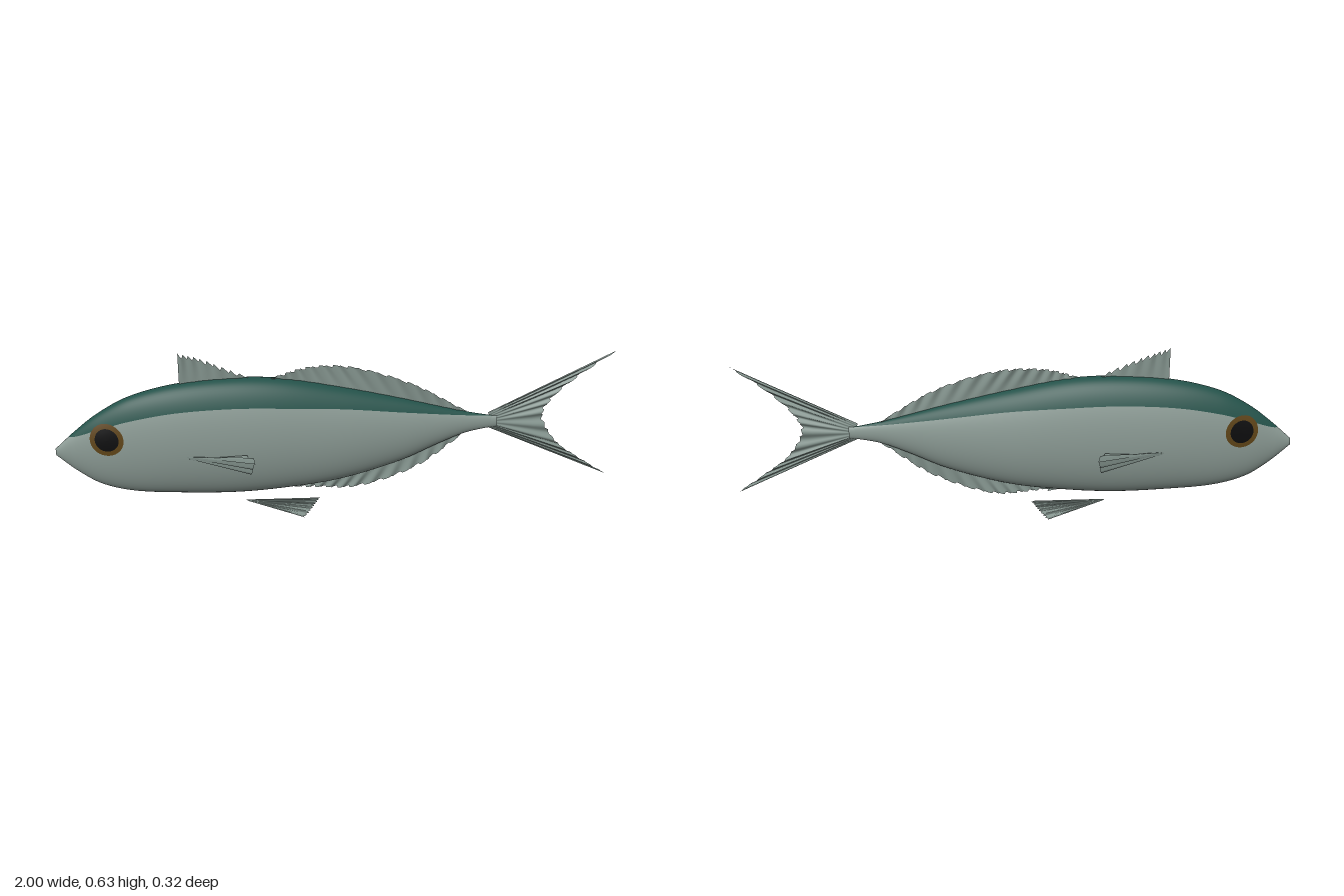
import * as THREE from 'three';

const mat = (name, color, side = THREE.FrontSide) => {
  const m = new THREE.MeshStandardMaterial({ color, side });
  m.name = name;
  return m;
};

// Body stations: x, top, bottom, half width, height of the colour line
const STATIONS = [
  [-1.0, 0.287, 0.262, 0.006, 0.32],
  [-0.93, 0.35, 0.195, 0.026, 0.337],
  [-0.85, 0.412, 0.138, 0.047, 0.367],
  [-0.74, 0.47, 0.102, 0.067, 0.402],
  [-0.58, 0.508, 0.083, 0.084, 0.43],
  [-0.38, 0.52, 0.07, 0.092, 0.437],
  [-0.2, 0.507, 0.075, 0.091, 0.426],
  [0.0, 0.463, 0.096, 0.08, 0.404],
  [0.22, 0.404, 0.154, 0.055, 0.366],
  [0.36, 0.362, 0.213, 0.034, 0.341],
  [0.46, 0.333, 0.25, 0.019, 0.324],
  [0.57, 0.308, 0.268, 0.007, 0.309],
];

// Smooth section of the body at x
function section(x) {
  const S = STATIONS, n = S.length;
  let i = 0;
  while (i < n - 2 && x > S[i + 1][0]) i++;
  const slope = (k, c) => {
    const a = S[Math.max(k - 1, 0)], b = S[Math.min(k + 1, n - 1)];
    return (b[c] - a[c]) / (b[0] - a[0]);
  };
  const d = S[i + 1][0] - S[i][0], t = (x - S[i][0]) / d, t2 = t * t, t3 = t2 * t;
  const at = (c) => (2 * t3 - 3 * t2 + 1) * S[i][c] + (t3 - 2 * t2 + t) * d * slope(i, c)
    + (3 * t2 - 2 * t3) * S[i + 1][c] + (t3 - t2) * d * slope(i + 1, c);
  const top = at(1), bottom = at(2);
  return { c: (top + bottom) / 2, h: (top - bottom) / 2, w: at(3), line: at(4) };
}

function surfaceZ(x, y) {
  const s = section(x);
  return s.w * Math.sqrt(Math.max(0, 1 - ((y - s.c) / s.h) ** 2));
}

function meshFrom(name, pos, index, material) {
  const g = new THREE.BufferGeometry();
  g.setAttribute('position', new THREE.Float32BufferAttribute(pos, 3));
  g.setIndex(index);
  g.computeVertexNormals();
  const m = new THREE.Mesh(g, material);
  m.name = name;
  return m;
}

// Closed elliptical body, back and flanks split along the colour line
function makeBody(back, flank) {
  const rows = 90, up = 24, low = 40, around = up + low;
  const pos = [], upper = [], lower = [];
  for (let i = -1; i <= rows + 1; i++) {
    const u = Math.min(Math.max(i / rows, 0), 1);
    const x = -1 + 1.57 * Math.pow(u, 1.2);
    const s = section(x), k = i < 0 || i > rows ? 0 : 1;
    const a = Math.acos(THREE.MathUtils.clamp((s.line - s.c) / s.h, -1, 1));
    for (let j = 0; j < around; j++) {
      const t = j < up ? -a + (2 * a * j) / up : a + ((2 * Math.PI - 2 * a) * (j - up)) / low;
      pos.push(x, s.c + k * s.h * Math.cos(t), k * s.w * Math.sin(t));
    }
  }
  for (let i = 0; i < rows + 2; i++) {
    for (let j = 0; j < around; j++) {
      const a = i * around + j, b = i * around + ((j + 1) % around);
      (j < up ? upper : lower).push(a, b, a + around, b, b + around, a + around);
    }
  }
  const body = meshFrom('body', pos, [...upper, ...lower], [back, flank]);
  body.geometry.addGroup(0, upper.length, 0);
  body.geometry.addGroup(upper.length, lower.length, 1);
  return body;
}

// Ring or disc lying on the side of the head
function eyePlate(name, r0, r1, lift, side, material) {
  const pos = [], index = [], n = 40, rings = 4;
  for (let i = 0; i <= rings; i++) {
    const r = r0 + ((r1 - r0) * i) / rings;
    for (let j = 0; j < n; j++) {
      const t = (j / n) * Math.PI * 2;
      const x = -0.82 + r * Math.cos(t), y = 0.335 + r * Math.sin(t);
      pos.push(x, y, side * (surfaceZ(x, y) + lift));
    }
  }
  for (let i = 0; i < rings; i++) {
    for (let j = 0; j < n; j++) {
      const a = i * n + j, b = i * n + ((j + 1) % n);
      if (side > 0) index.push(a, a + n, b, b, a + n, b + n);
      else index.push(a, b, a + n, b, b + n, a + n);
    }
  }
  return meshFrom(name, pos, index, material);
}

// Rayed fin between a root curve and a ragged outer edge, rippled along one direction
function makeFin(name, root, edge, { rays, ragged, ripple, dir = [0, 0, 1] }, material) {
  const curve = (pts) => new THREE.CatmullRomCurve3(pts.map(([x, y, z = 0]) => new THREE.Vector3(x, y, z)));
  const A = curve(root), B = curve(edge), d = new THREE.Vector3(...dir);
  const n = rays * 4, m = 5, pos = [], index = [];
  for (let i = 0; i <= n; i++) {
    const u = i / n, a = A.getPoint(u), b = B.getPoint(u);
    const notch = ragged * ((i % 4) / 4) / Math.max(b.distanceTo(a), 0.05);
    const wave = ripple * (0.6 * Math.sin(u * rays * Math.PI) + 0.4 * Math.sin(u * 9 + 1));
    for (let j = 0; j <= m; j++) {
      const v = j / m;
      const p = a.clone().lerp(b, v * (1 - notch)).addScaledVector(d, wave * v);
      pos.push(p.x, p.y, p.z);
      if (i < n && j < m) {
        const k = i * (m + 1) + j;
        index.push(k, k + 1, k + m + 1, k + 1, k + m + 2, k + m + 1);
      }
    }
  }
  return meshFrom(name, pos, index, material);
}

export function createModel() {
  const back = mat('dark green back', 0x24524a);
  const flank = mat('silver flank', 0x8a9993);
  const fin = mat('grey green fin', 0x82928c, THREE.DoubleSide);
  const iris = mat('brown iris', 0x5c4216);
  const pupil = mat('black pupil', 0x0b0b0c);

  const fish = new THREE.Group();
  fish.name = 'fish';
  fish.add(makeBody(back, flank));

  // Blunt root of the tail
  const stub = new THREE.Mesh(new THREE.CylinderGeometry(0.022, 0.025, 0.045, 20), flank);
  stub.name = 'tailRoot';
  stub.rotation.z = -Math.PI / 2;
  stub.scale.z = 0.4;
  stub.position.set(0.55, 0.288, 0);
  fish.add(stub);

  // Fins on the centre line
  fish.add(makeFin('tailFin',
    [[0.54, 0.325], [0.55, 0.288], [0.54, 0.265]],
    [[0.995, 0.543], [0.87, 0.455], [0.78, 0.37], [0.745, 0.3], [0.8, 0.19], [0.89, 0.115], [1, 0.035]],
    { rays: 22, ragged: 0.012, ripple: 0.009 }, fin));
  fish.add(makeFin('frontDorsalFin',
    [[-0.56, 0.49], [-0.45, 0.505], [-0.33, 0.505]],
    [[-0.56, 0.628], [-0.5, 0.608], [-0.42, 0.572], [-0.32, 0.522]],
    { rays: 10, ragged: 0.02, ripple: 0.006 }, fin));
  fish.add(makeFin('rearDorsalFin',
    [[-0.25, 0.5], [-0.1, 0.475], [0.1, 0.425], [0.3, 0.37], [0.46, 0.325]],
    [[-0.24, 0.515], [-0.13, 0.545], [0.03, 0.54], [0.26, 0.46], [0.46, 0.335]],
    { rays: 26, ragged: 0.009, ripple: 0.009 }, fin));
  fish.add(makeFin('analFin',
    [[-0.2, 0.09], [-0.05, 0.105], [0.12, 0.14], [0.3, 0.2], [0.46, 0.258]],
    [[-0.19, 0.077], [-0.08, 0.06], [0.06, 0.051], [0.28, 0.122], [0.46, 0.25]],
    { rays: 26, ragged: 0.009, ripple: 0.009 }, fin));

  // Paired fins and eyes
  for (const side of [1, -1]) {
    const label = side > 0 ? 'left' : 'right';
    const flip = (pts) => pts.map(([x, y, z]) => [x, y, z * side]);
    fish.add(makeFin(label + 'PectoralFin',
      flip([[-0.555, 0.268, 0.083], [-0.55, 0.26, 0.083], [-0.545, 0.252, 0.083]]),
      flip([[-0.315, 0.25, 0.158], [-0.325, 0.238, 0.122], [-0.345, 0.228, 0.082]]),
      { rays: 9, ragged: 0.012, ripple: 0.036, dir: [0, 1, 0] }, fin));
    fish.add(makeFin(label + 'PelvicFin',
      flip([[-0.345, 0.07, 0.07], [-0.342, 0.068, 0.072], [-0.338, 0.066, 0.074]]),
      flip([[-0.08, 0.06, 0.074], [-0.105, 0.034, 0.09], [-0.14, 0.003, 0.11]]),
      { rays: 9, ragged: 0.01, ripple: 0.007, dir: [0, 0.5, side * 0.85] }, fin));
    fish.add(eyePlate(label + 'Iris', 0.038, 0.058, 0.004, side, iris));
    fish.add(eyePlate(label + 'Pupil', 0, 0.041, 0.005, side, pupil));
  }
  return fish;
}
